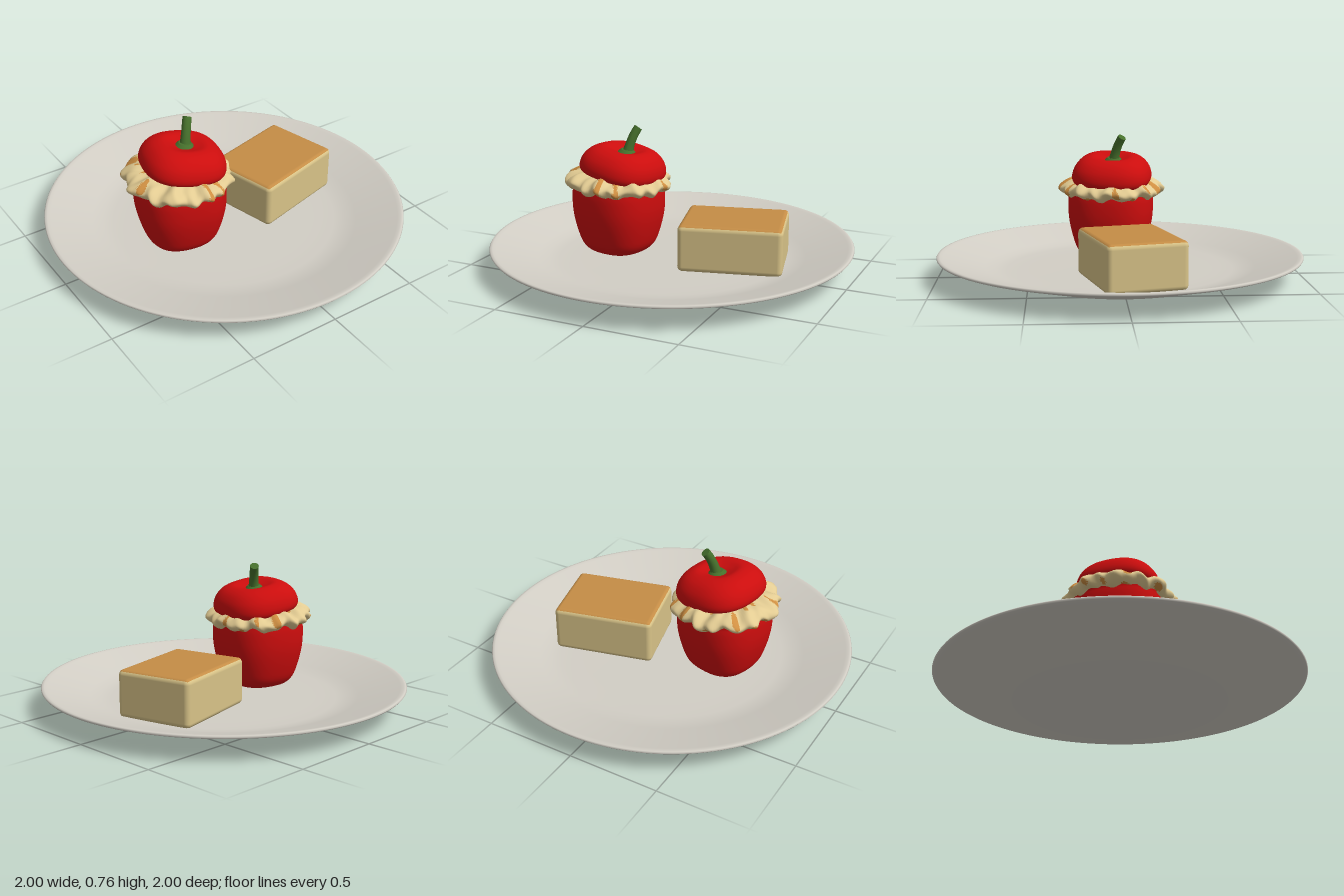
import * as THREE from 'three';
import { mergeVertices } from 'three/addons/utils/BufferGeometryUtils.js';
import { RoundedBoxGeometry } from 'three/addons/geometries/RoundedBoxGeometry.js';

const mat = (name, color) => {
  const m = new THREE.MeshStandardMaterial({ color });
  m.name = name;
  return m;
};

function part(parent, name, geometry, material) {
  const m = new THREE.Mesh(geometry, material);
  m.name = name;
  parent.add(m);
  return m;
}

const toVectors = (pts) => pts.map(([x, y]) => new THREE.Vector2(x, y));

// Smooth closed surface of revolution, reshaped by rule(vertex, angle, radius)
function shapedLathe(pts, rows, segments, rule) {
  const curve = new THREE.SplineCurve(toVectors(pts)).getPoints(rows);
  curve.forEach((p) => { p.x = Math.max(p.x, 0); });
  let g = new THREE.LatheGeometry(curve, segments);
  const pos = g.attributes.position;
  const v = new THREE.Vector3();
  for (let i = 0; i < pos.count; i++) {
    v.fromBufferAttribute(pos, i);
    rule(v, Math.atan2(v.x, v.z), Math.hypot(v.x, v.z));
    pos.setXYZ(i, v.x, v.y, v.z);
  }
  g.deleteAttribute('uv');
  g.deleteAttribute('normal');
  g = mergeVertices(g, 1e-5);
  g.computeVertexNormals();
  return g;
}

// Four soft lobes give the pepper its squarish outline
function lobes(v, a) {
  const k = 1 + 0.035 * Math.cos(4 * (a - 0.58));
  v.x *= k;
  v.z *= k;
}

// Uneven ruffles, strongest at the rim of the filling
function ruffle(v, a, r) {
  const w = THREE.MathUtils.smoothstep(r, 0.05, 0.26);
  const k = 1 + w * (0.032 * Math.sin(15 * a + 2 * Math.sin(2 * a))
    + 0.022 * Math.sin(8 * a + 1) + 0.015 * Math.sin(23 * a + 60 * v.y));
  v.x *= k;
  v.z *= k;
  v.y += w * (0.008 * Math.sin(9 * a + 0.7) + 0.006 * Math.sin(17 * a + 30 * r))
    + 0.005 * Math.sin(38 * v.x + 2) * Math.sin(34 * v.z);
}

// Sort triangles into plain and toasted groups
function addToastedSpots(g) {
  const pos = g.attributes.position;
  const lists = [[], []];
  const c = new THREE.Vector3();
  const v = new THREE.Vector3();
  for (let i = 0; i < g.index.count; i += 3) {
    const tri = [0, 1, 2].map((k) => g.index.getX(i + k));
    c.set(0, 0, 0);
    tri.forEach((n) => c.add(v.fromBufferAttribute(pos, n)));
    c.divideScalar(3);
    const a = Math.atan2(c.x, c.z);
    const r = Math.hypot(c.x, c.z);
    const s = Math.sin(14 * a + 2 * Math.sin(3 * a)) + 0.6 * Math.sin(45 * r + 60 * c.y + 5 * a);
    lists[r > 0.15 && s > 1.02 ? 1 : 0].push(...tri);
  }
  g.setIndex([...lists[0], ...lists[1]]);
  g.addGroup(0, lists[0].length, 0);
  g.addGroup(lists[0].length, lists[1].length, 1);
  return g;
}

// Tapered, curved stem with closed ends
function stemGeometry() {
  const curve = new THREE.QuadraticBezierCurve3(
    new THREE.Vector3(-0.262, 0.59, 0.022),
    new THREE.Vector3(-0.25, 0.68, 0.015),
    new THREE.Vector3(-0.216, 0.748, -0.024));
  const rows = 14, sides = 20;
  const g = new THREE.TubeGeometry(curve, rows, 0.026, sides);
  const pos = g.attributes.position;
  const v = new THREE.Vector3();
  for (let i = 0; i < pos.count; i++) {
    const t = Math.floor(i / (sides + 1)) / rows;
    const p = curve.getPointAt(t);
    const k = 1 + 0.5 * (1 - t) ** 5 - 0.08 * t;
    v.fromBufferAttribute(pos, i).sub(p).multiplyScalar(k).add(p);
    pos.setXYZ(i, v.x, v.y, v.z);
  }
  g.computeVertexNormals();
  return { g, curve };
}

export function createModel() {
  const ceramic = mat('ceramic', 0xd2cec5);
  const red = mat('pepperRed', 0xcc0d0d);
  const green = mat('stemGreen', 0x46702c);
  const cream = mat('fillingCream', 0xe2cb92);
  const toast = mat('fillingToast', 0xcf8f42);
  const crumb = mat('breadCrumb', 0xd8c388);
  const crust = mat('breadCrust', 0xc58d46);
  const model = new THREE.Group();
  model.name = 'plateOfFood';

  // Wide shallow plate
  part(model, 'plate', new THREE.LatheGeometry(toVectors([
    [0, 0], [0.52, 0], [0.55, 0], [0.58, 0.008], [0.97, 0.115], [0.995, 0.124],
    [1, 0.131], [0.995, 0.138], [0.982, 0.139], [0.965, 0.134], [0.74, 0.07],
    [0.68, 0.055], [0.62, 0.049], [0.5, 0.047], [0, 0.047],
  ]), 128), ceramic);

  // Bread block with a browned top face
  const bread = part(model, 'breadBlock', new RoundedBoxGeometry(0.56, 0.256, 0.432, 5, 0.028),
    [crumb, crumb, crust, crumb, crumb, crumb]);
  bread.position.set(0.355, 0.172, -0.04);
  bread.rotation.y = 0.25;

  // Stuffed pepper
  const pepper = new THREE.Group();
  pepper.name = 'stuffedPepper';
  model.add(pepper);

  const body = part(pepper, 'pepperBody', shapedLathe([
    [0, 0.06], [0.08, 0.05], [0.15, 0.06], [0.195, 0.1], [0.222, 0.17], [0.243, 0.26],
    [0.25, 0.34], [0.245, 0.42], [0.22, 0.45], [0, 0.46],
  ], 44, 72, lobes), red);
  body.position.set(-0.31, 0, 0.035);

  const filling = part(pepper, 'filling', addToastedSpots(shapedLathe([
    [0, -0.03], [0.2, -0.035], [0.25, -0.035], [0.282, -0.015], [0.288, 0.008],
    [0.26, 0.032], [0.21, 0.05], [0.12, 0.062], [0, 0.066],
  ], 40, 144, ruffle)), [cream, toast]);
  filling.position.set(-0.315, 0.452, 0.03);
  filling.rotation.z = -0.05;

  // Tilted lid with a dimple for the stem
  const lid = part(pepper, 'pepperLid', shapedLathe([
    [0, 0.01], [0.12, 0.004], [0.205, 0], [0.228, 0.012], [0.232, 0.045], [0.215, 0.09],
    [0.175, 0.13], [0.12, 0.148], [0.07, 0.135], [0.03, 0.122], [0, 0.12],
  ], 48, 72, lobes), red);
  lid.position.set(-0.29, 0.492, 0.03);
  lid.rotation.z = -0.15;

  // Stem with collar and cut end
  const { g, curve } = stemGeometry();
  part(pepper, 'stem', g, green);
  const tip = part(pepper, 'stemTip', new THREE.CircleGeometry(0.024, 20), green);
  tip.position.copy(curve.getPointAt(1));
  tip.quaternion.setFromUnitVectors(new THREE.Vector3(0, 0, 1), curve.getTangentAt(1));
  const collar = part(pepper, 'stemCollar', new THREE.CylinderGeometry(0.035, 0.057, 0.022, 24), green);
  collar.position.set(-0.262, 0.619, 0.022);
  collar.rotation.z = -0.15;

  return model;
}
